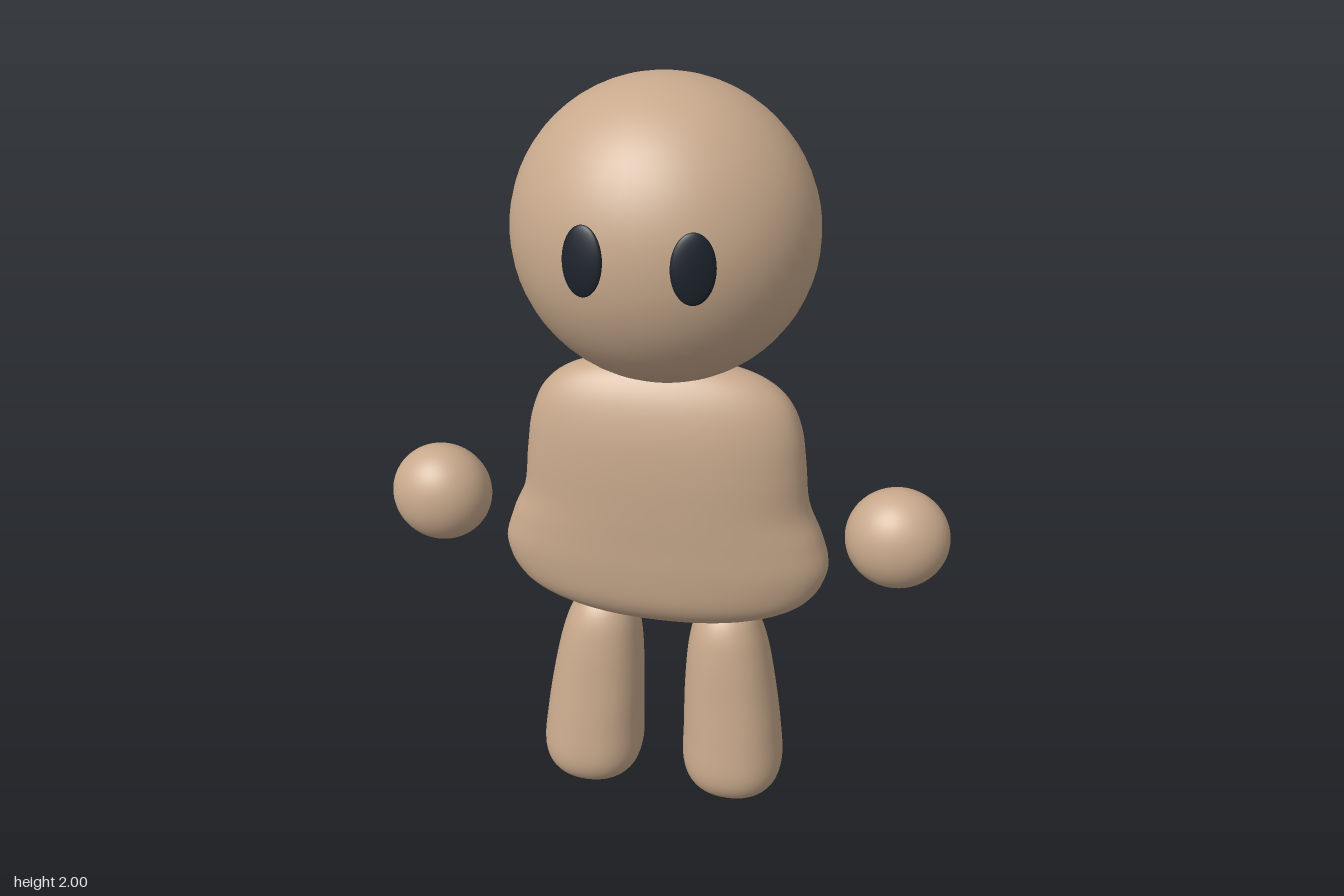
import * as THREE from 'three';

const skin = new THREE.MeshStandardMaterial({ color: 0xc8a98c });
const dark = new THREE.MeshStandardMaterial({ color: 0x1c222c });

// Smooth closed body through rounded rings, bottom to top: [y, centre x, half width, centre z, half depth]
function loft(rings, power, steps = 6, sides = 48) {
  const centres = new THREE.CatmullRomCurve3(rings.map(r => new THREE.Vector3(r[1], r[0], r[3])), false, 'catmullrom');
  const radii = new THREE.CatmullRomCurve3(rings.map(r => new THREE.Vector3(r[2], 0, r[4])), false, 'catmullrom');
  const rows = (rings.length - 1) * steps;
  const pos = [], index = [];
  const round = v => Math.sign(v) * Math.abs(v) ** (2 / power);
  for (let i = 0; i <= rows; i++) {
    const c = centres.getPoint(i / rows), r = radii.getPoint(i / rows);
    for (let j = 0; j < sides; j++) {
      const a = (j / sides) * Math.PI * 2;
      pos.push(c.x + Math.max(r.x, 0) * round(Math.cos(a)), c.y, c.z + Math.max(r.z, 0) * round(Math.sin(a)));
      if (i === rows) continue;
      const p = i * sides + j, q = i * sides + (j + 1) % sides;
      index.push(p, p + sides, q, q, p + sides, q + sides);
    }
  }
  const g = new THREE.BufferGeometry();
  g.setAttribute('position', new THREE.Float32BufferAttribute(pos, 3));
  g.setIndex(index);
  g.computeVertexNormals();
  return g;
}

function ellipsoid(rx, ry, rz) {
  return new THREE.SphereGeometry(1, 48, 32).scale(rx, ry, rz);
}

export function createModel() {
  const model = new THREE.Group();
  const add = (name, geometry, material = skin, x = 0, y = 0, z = 0) => {
    const mesh = new THREE.Mesh(geometry, material);
    mesh.name = name;
    mesh.position.set(x, y, z);
    model.add(mesh);
    return mesh;
  };

  add('head', ellipsoid(0.367, 0.365, 0.33), skin, 0, 1.635, 0);

  // Torso: narrow shoulders flaring to a rounded hem
  add('torso', loft([
    [0.55, 0, 0, 0, 0],
    [0.565, 0, 0.16, 0, 0.06],
    [0.595, 0, 0.3, -0.005, 0.105],
    [0.65, 0, 0.39, -0.007, 0.135],
    [0.74, 0, 0.43, -0.007, 0.145],
    [0.83, 0, 0.41, -0.007, 0.147],
    [0.92, 0, 0.373, -0.007, 0.148],
    [1.03, 0, 0.36, -0.007, 0.145],
    [1.13, 0, 0.345, -0.007, 0.133],
    [1.21, 0, 0.31, -0.006, 0.108],
    [1.265, 0, 0.24, -0.005, 0.075],
    [1.295, 0, 0.13, -0.003, 0.038],
    [1.302, 0, 0, 0, 0],
  ], 2.25));

  for (const [side, s] of [['left', 1], ['right', -1]]) {
    add(side + 'Hand', ellipsoid(0.132, 0.132, 0.115), skin, s * 0.6, 0.868, 0.017);

    // Eye: thin disc lying on the face
    const eye = add(side + 'Eye', ellipsoid(0.051, 0.081, 0.014), dark, s * 0.123, 1.665, 0.31);
    eye.rotation.set(-0.1, s * 0.32, 0, 'YXZ');

    // Leg: tapers up into the hem, foot end blunt
    add(side + 'Leg', loft([
      [0.003, s * 0.2, 0, 0.025, 0],
      [0.014, s * 0.2, 0.06, 0.025, 0.06],
      [0.045, s * 0.2, 0.115, 0.025, 0.113],
      [0.11, s * 0.199, 0.138, 0.026, 0.137],
      [0.22, s * 0.194, 0.134, 0.019, 0.131],
      [0.34, s * 0.185, 0.125, 0.01, 0.12],
      [0.46, s * 0.176, 0.11, 0, 0.111],
      [0.54, s * 0.17, 0.09, -0.004, 0.094],
      [0.59, s * 0.167, 0.06, -0.006, 0.06],
      [0.61, s * 0.165, 0, -0.006, 0],
    ], 2.2));
  }
  return model;
}
